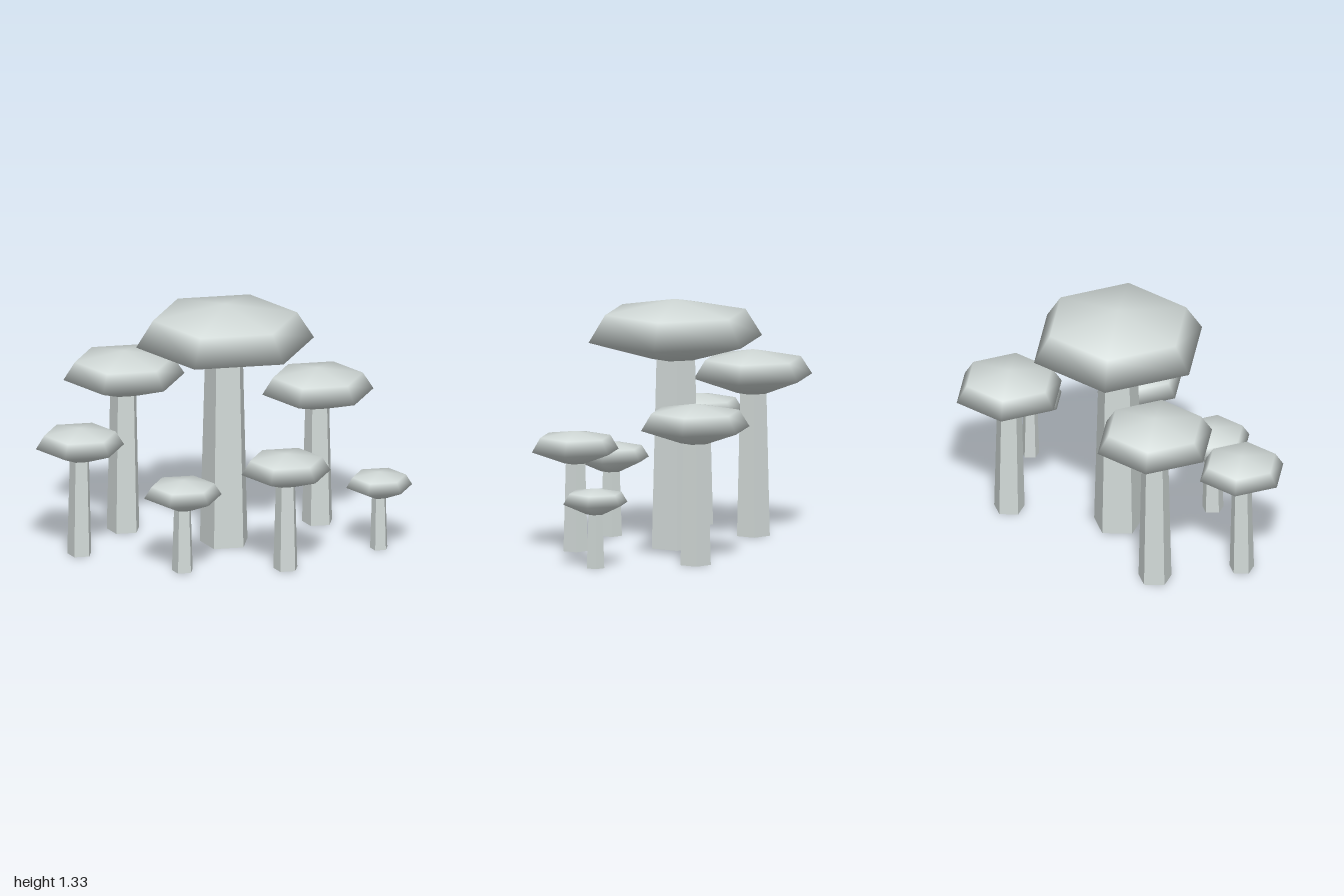
import * as THREE from 'three';
import { mergeVertices } from 'three/addons/utils/BufferGeometryUtils.js';

const paleGrey = new THREE.MeshStandardMaterial({ color: 0xd2dad8 });
paleGrey.name = 'paleGrey';

// x, z, cap radius, stem radius, then heights: cap base, rim, shoulder, apex
const MUSHROOMS = [
  ['tallMushroom', 0.03, -0.055, 0.48, 0.135, 1.017, 1.118, 1.263, 1.334],
  ['backRightMushroom', -0.46, -0.36, 0.327, 0.092, 0.768, 0.855, 0.951, 1.0],
  ['backLeftMushroom', 0.575, -0.297, 0.3, 0.085, 0.654, 0.729, 0.82, 0.863],
  ['farRightMushroom', -0.763, 0, 0.238, 0.068, 0.53, 0.6, 0.673, 0.704],
  ['frontLeftMushroom', 0.27, 0.433, 0.24, 0.068, 0.472, 0.537, 0.613, 0.643],
  ['frontRightMushroom', -0.275, 0.37, 0.209, 0.059, 0.347, 0.415, 0.478, 0.505],
  ['farLeftMushroom', 0.817, 0.19, 0.178, 0.049, 0.289, 0.347, 0.403, 0.427],
];

// Six-sided cap with shared vertices, so its normals are smooth throughout
function makeCap(radius, base, rim, shoulder, apex) {
  const profile = [
    [0, base], [0.27 * radius, base], [radius, rim],
    [0.81 * radius, shoulder], [0, apex],
  ].map(([r, y]) => new THREE.Vector2(r, y));
  const lathe = new THREE.LatheGeometry(profile, 6, Math.PI / 2);
  lathe.deleteAttribute('normal');
  lathe.deleteAttribute('uv');
  const geometry = mergeVertices(lathe, 1e-4);
  geometry.computeVertexNormals();
  const cap = new THREE.Mesh(geometry, paleGrey);
  cap.name = 'cap';
  return cap;
}

// Five-sided tapered stem with flat faces and one edge towards the back
function makeStem(radius, height) {
  const geometry = new THREE.CylinderGeometry(
    radius * 0.8, radius, height, 5, 1, false, Math.PI
  ).toNonIndexed();
  geometry.computeVertexNormals();
  geometry.translate(0, height / 2, 0);
  const stem = new THREE.Mesh(geometry, paleGrey);
  stem.name = 'stem';
  return stem;
}

export function createModel() {
  const model = new THREE.Group();
  model.name = 'mushroomCluster';
  for (const [name, x, z, capRadius, stemRadius, ...heights] of MUSHROOMS) {
    const mushroom = new THREE.Group();
    mushroom.name = name;
    mushroom.position.set(x, 0, z);
    mushroom.add(makeStem(stemRadius, heights[0]), makeCap(capRadius, ...heights));
    model.add(mushroom);
  }
  return model;
}
